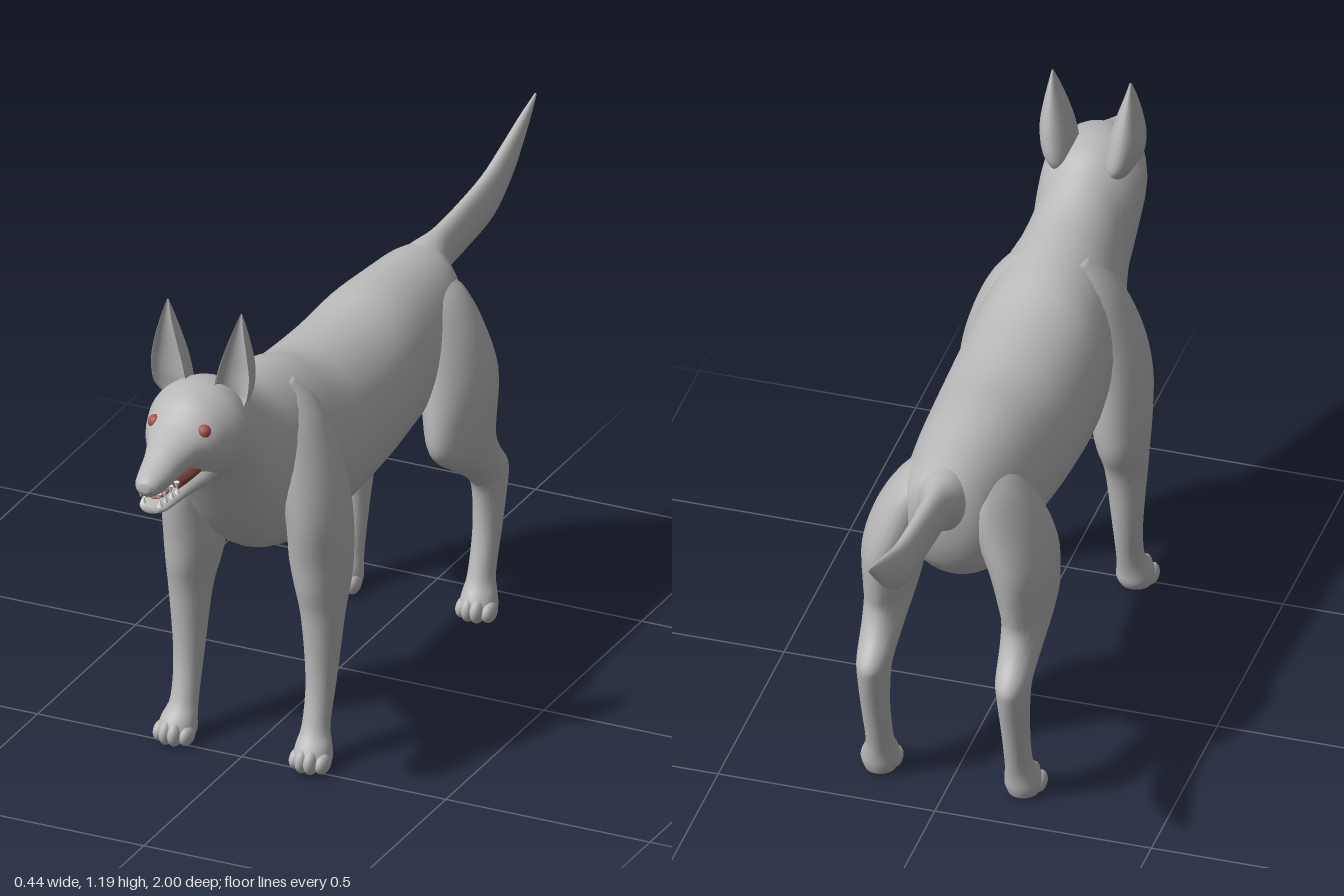
import * as THREE from 'three';

const mat = (name, color) => {
  const m = new THREE.MeshStandardMaterial({ color });
  m.name = name;
  return m;
};

// Smooth value through a column of control rows
const spline = (a, b, c, d, t) =>
  0.5 * (2 * b + (c - a) * t + (2 * a - 5 * b + 4 * c - d) * t * t + (3 * b - a - 3 * c + d) * t * t * t);

function refine(rows, steps) {
  const out = [];
  const at = i => rows[Math.min(rows.length - 1, Math.max(0, i))];
  for (let i = 0; i < rows.length - 1; i++)
    for (let k = 0; k < steps; k++)
      out.push(rows[i].map((_, c) => spline(at(i - 1)[c], at(i)[c], at(i + 1)[c], at(i + 2)[c], k / steps)));
  out.push(rows[rows.length - 1]);
  return out;
}

// Closed loft. Rows along z: [z, x0, x1, y0, y1]; along y: [y, x0, x1, z0, z1].
// hollow scales the +z half of a y loft, so a negative value makes a cupped section.
function loft(rows, axis, { segs = 28, steps = 4, hollow = 1 } = {}) {
  const rings = refine([...rows].sort((a, b) => a[0] - b[0]), steps);
  const pos = [], idx = [];
  const put = (s, u, v) => (axis === 'z' ? pos.push(u, v, s) : pos.push(u, s, v));
  for (const [s, u0, u1, v0, v1] of rings) {
    for (let j = 0; j < segs; j++) {
      const a = (j / segs) * Math.PI * 2;
      let v = axis === 'z' ? Math.sin(a) : -Math.sin(a);
      if (v > 0) v *= hollow;
      put(s, (u0 + u1) / 2 + (Math.cos(a) * (u1 - u0)) / 2, (v0 + v1) / 2 + (v * (v1 - v0)) / 2);
    }
  }
  for (let i = 0; i < rings.length - 1; i++)
    for (let j = 0; j < segs; j++) {
      const a = i * segs + j, b = i * segs + ((j + 1) % segs);
      idx.push(a, b, b + segs, a, b + segs, a + segs);
    }
  // End caps
  const n = rings.length;
  [rings[0], rings[n - 1]].forEach((r, e) => {
    put(r[0], (r[1] + r[2]) / 2, (r[3] + r[4]) / 2);
    const c = n * segs + e, base = e ? (n - 1) * segs : 0;
    for (let j = 0; j < segs; j++) {
      const p = base + j, q = base + ((j + 1) % segs);
      e ? idx.push(c, p, q) : idx.push(c, q, p);
    }
  });
  const g = new THREE.BufferGeometry();
  g.setAttribute('position', new THREE.Float32BufferAttribute(pos, 3));
  g.setIndex(idx);
  g.computeVertexNormals();
  return g;
}

// Symmetric rows [z, halfWidth, bottom, top]
const sym = rows => rows.map(([z, w, b, t]) => [z, -w, w, b, t]);
const mirror = (rows, side) => (side > 0 ? rows : rows.map(([y, a, b, c, d]) => [y, -b, -a, c, d]));

export function createModel() {
  const group = new THREE.Group();
  const fur = mat('grey coat', 0xb9b9b9);
  const eyeRed = mat('eye red', 0xa8554d);
  const mouthDark = mat('mouth dark red', 0x74403a);
  const tongueRed = mat('tongue red', 0xb86a60);
  const ivory = mat('tooth ivory', 0xf4f4f0);

  const add = (name, geo, m, x = 0, y = 0, z = 0) => {
    const mesh = new THREE.Mesh(geo, m);
    mesh.name = name;
    mesh.position.set(x, y, z);
    group.add(mesh);
    return mesh;
  };
  const ball = (name, m, r, x, y, z, sx = 1, sy = 1, sz = 1) =>
    add(name, new THREE.SphereGeometry(r, 18, 12), m, x, y, z).scale.set(sx, sy, sz);

  // Trunk, neck, skull and upper jaw
  add('body', loft(sym([
    [-0.455, 0.03, 0.72, 0.82], [-0.44, 0.075, 0.65, 0.85], [-0.4, 0.112, 0.58, 0.862],
    [-0.3, 0.135, 0.515, 0.87], [-0.16, 0.15, 0.5, 0.875], [0, 0.163, 0.485, 0.862],
    [0.2, 0.168, 0.468, 0.875], [0.32, 0.16, 0.468, 0.91], [0.43, 0.152, 0.49, 0.93],
    [0.52, 0.132, 0.535, 0.945], [0.6, 0.115, 0.61, 0.98], [0.66, 0.118, 0.695, 1.012],
    [0.72, 0.118, 0.785, 1.022], [0.78, 0.1, 0.805, 1.012], [0.82, 0.082, 0.838, 0.985],
    [0.85, 0.064, 0.862, 0.965], [0.9, 0.047, 0.854, 0.942], [0.95, 0.038, 0.848, 0.918],
    [0.985, 0.028, 0.853, 0.903], [1, 0.012, 0.868, 0.89],
  ]), 'z', { segs: 36 }), fur);

  add('tail', loft(sym([
    [-1, 0.003, 0.968, 0.976], [-0.93, 0.013, 0.898, 0.951], [-0.85, 0.02, 0.825, 0.92],
    [-0.75, 0.025, 0.772, 0.887], [-0.6, 0.028, 0.755, 0.868], [-0.5, 0.034, 0.746, 0.862],
    [-0.43, 0.06, 0.71, 0.862], [-0.36, 0.06, 0.71, 0.855],
  ]), 'z'), fur);

  // Lower jaw, mouth lining and tongue
  add('lowerJaw', loft(sym([
    [0.74, 0.07, 0.8, 0.87], [0.8, 0.071, 0.798, 0.87], [0.85, 0.056, 0.8, 0.856],
    [0.9, 0.044, 0.802, 0.839], [0.95, 0.034, 0.802, 0.828], [0.97, 0.02, 0.806, 0.822],
  ]), 'z'), fur);
  add('mouthLining', loft(sym([
    [0.79, 0.058, 0.84, 0.885], [0.84, 0.052, 0.835, 0.878], [0.89, 0.034, 0.822, 0.866],
  ]), 'z'), mouthDark);
  ball('tongue', tongueRed, 0.02, 0, 0.836, 0.915, 0.95, 0.4, 2);

  for (const side of [1, -1]) {
    const s = side > 0 ? 'left' : 'right';

    // Cupped ears rooted in the skull
    add(s + 'Ear', loft(mirror([
      [0.93, 0.05, 0.075, 0.66, 0.72], [0.97, 0.035, 0.1, 0.632, 0.77], [1.0, 0.034, 0.115, 0.625, 0.8],
      [1.05, 0.043, 0.12, 0.632, 0.795], [1.1, 0.058, 0.113, 0.647, 0.775], [1.15, 0.075, 0.102, 0.667, 0.74],
      [1.19, 0.088, 0.092, 0.687, 0.695],
    ], side), 'y', { hollow: -0.4 }), fur);

    // Eyes
    ball(s + 'Eye', eyeRed, 0.016, side * 0.06, 0.953, 0.818);

    // Teeth near the front of both jaws
    for (let i = 0; i < 4; i++) {
      const z = 0.965 - i * 0.02;
      const height = i === 1 ? 0.028 : 0.018;
      const x = side * (0.02 + i * 0.0045);
      const lower = new THREE.ConeGeometry(0.007, height, 8);
      add(s + 'LowerTooth', lower, ivory, x, 0.83 + i * 0.003, z - 0.006);
      const upper = new THREE.ConeGeometry(0.007, height, 8).rotateX(Math.PI);
      add(s + 'UpperTooth', upper, ivory, x * 1.1, 0.849 + i * 0.002, z + 0.004);
    }

    // Legs, with shoulder and thigh sunk into the trunk
    add(s + 'FrontLeg', loft(mirror([
      [0.9, 0.02, 0.075, 0.37, 0.44], [0.86, 0.02, 0.117, 0.335, 0.48], [0.8, 0.03, 0.158, 0.322, 0.505],
      [0.7, 0.05, 0.197, 0.315, 0.525], [0.6, 0.085, 0.217, 0.315, 0.525], [0.5, 0.088, 0.22, 0.318, 0.508],
      [0.43, 0.1, 0.216, 0.328, 0.498], [0.35, 0.115, 0.209, 0.365, 0.48], [0.2, 0.128, 0.196, 0.393, 0.47],
      [0.1, 0.13, 0.192, 0.42, 0.49], [0.06, 0.125, 0.204, 0.43, 0.52], [0.03, 0.122, 0.21, 0.435, 0.532],
      [0.012, 0.13, 0.203, 0.445, 0.52],
    ], side), 'y'), fur);
    add(s + 'HindLeg', loft(mirror([
      [0.82, 0.02, 0.075, -0.4, -0.28], [0.78, 0.03, 0.13, -0.43, -0.235], [0.7, 0.04, 0.182, -0.443, -0.195],
      [0.6, 0.075, 0.215, -0.447, -0.17], [0.5, 0.095, 0.216, -0.43, -0.162], [0.45, 0.105, 0.212, -0.423, -0.19],
      [0.4, 0.113, 0.206, -0.445, -0.265], [0.345, 0.12, 0.2, -0.49, -0.345], [0.3, 0.125, 0.197, -0.487, -0.375],
      [0.2, 0.13, 0.193, -0.457, -0.378], [0.1, 0.13, 0.191, -0.428, -0.354], [0.06, 0.125, 0.202, -0.418, -0.328],
      [0.03, 0.122, 0.208, -0.413, -0.318], [0.008, 0.13, 0.2, -0.405, -0.33],
    ], side), 'y'), fur);

    // Four toes on each paw
    for (const [name, z] of [['FrontToe', 0.508], ['HindToe', -0.342]])
      for (let i = 0; i < 4; i++) {
        const middle = i === 1 || i === 2;
        ball(s + name, fur, 0.016, side * (0.135 + i * 0.021), middle ? 0.032 : 0.027,
          z + (middle ? 0.005 : -0.01), 1, middle ? 1.8 : 1.5, 1.8);
      }
  }

  // Nose tip
  ball('nose', fur, 0.018, 0, 0.883, 0.984, 1.1, 0.85, 0.85);
  return group;
}
